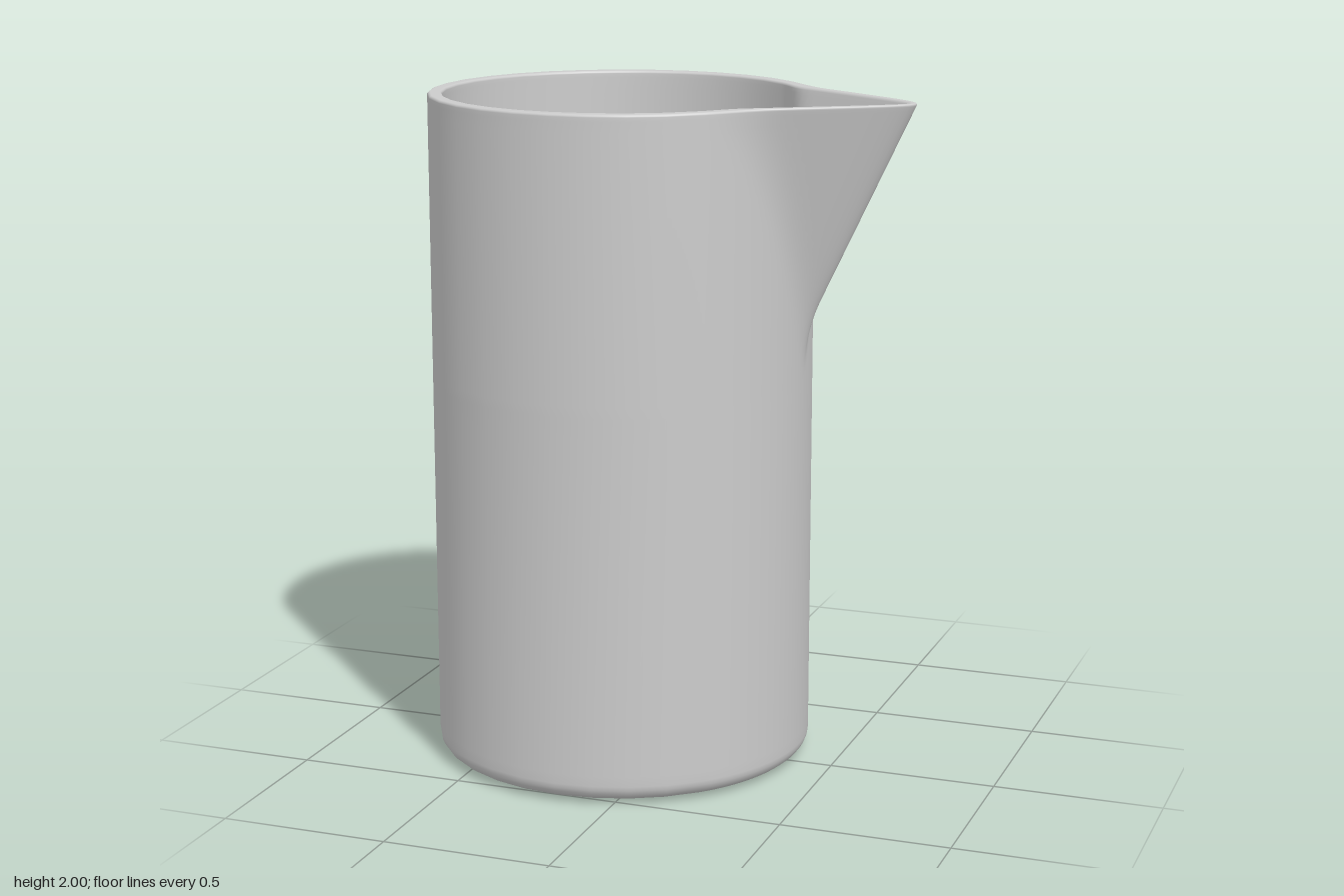
import * as THREE from 'three';

const CX = -0.165;        // axis of the round body
const R_OUT = 0.565, R_IN = 0.523;

// Column angles: coarse around the body, dense towards the spout tip
function columnAngles() {
  const angles = [], half = 24, spread = Math.PI / 4;
  for (let i = -half; i <= half; i++) {
    const u = i / half;
    angles.push(Math.sign(u) * Math.pow(Math.abs(u), 1.5) * spread);
  }
  for (let i = 5; i <= 27; i++) angles.push((i * Math.PI) / 16);
  return angles;
}

function smoothMax(a, b, k) {
  const h = Math.max(k - Math.abs(a - b), 0) / k;
  return Math.max(a, b) + (h * h * k) / 4;
}

// Radius of the wall: a circle joined with a wedge whose tip is rounded
function wallRadius(theta, y, inner) {
  const base = inner ? R_IN : R_OUT;
  if (y < 1.15 || Math.cos(theta) < 0.5) return base;
  const t = THREE.MathUtils.clamp((y - 1.25) / 0.75, 0, 1);
  const e = inner ? 0.025 + 0.01 * t : 0.035 + 0.02 * t;
  const tip = (inner ? 0.865 : 0.89) - 0.476 * (2 - y);
  const D = 0.6 * tip + e;
  const c = Math.cos(theta), s = Math.sin(theta);
  const A = s * s - 0.36 * c * c, B = 1.2 * D * c, C = D * D - e * e;
  const wedge = (2 * C) / (B + Math.sqrt(Math.max(B * B + 4 * A * C, 0)));
  return smoothMax(base, wedge, inner ? 0.02 : 0.05);
}

// Rows run from the underside, up the outside, over the rim and down inside.
function profileRows() {
  const rows = [];
  const add = (y, inset, inner = false, scale = 1) => rows.push({ y, inset, inner, scale });
  // underside and bottom fillet
  add(0, 0, false, 0);
  add(0, 0, false, 0.25);
  add(0.008, 0.075);
  for (let i = 0; i <= 6; i++) {
    const a = (i / 6) * Math.PI / 2;
    add(0.01 + 0.05 * (1 - Math.cos(a)), 0.05 * (1 - Math.sin(a)));
  }
  // outer wall
  add(0.09, 0);
  add(1.15, 0);
  for (let i = 0; i <= 24; i++) add(1.18 + (i / 24) * 0.8, 0);
  // rounded rim
  for (let i = 0; i <= 4; i++) {
    const a = (i / 4) * Math.PI / 2;
    add(1.992 + 0.008 * Math.sin(a), 0.008 * (1 - Math.cos(a)));
  }
  for (let i = 4; i >= 0; i--) {
    const a = (i / 4) * Math.PI / 2;
    add(1.992 + 0.008 * Math.sin(a), -0.008 * (1 - Math.cos(a)), true);
  }
  // inner wall and floor
  for (let i = 24; i >= 0; i--) add(1.18 + (i / 24) * 0.8, 0, true);
  add(1.15, 0, true);
  add(0.08, 0, true);
  add(0.065, 0.002, true);
  add(0.06, 0.008, true);
  add(0.06, 0.025, true);
  add(0.06, 0, true, 0);
  return rows;
}

function jugGeometry() {
  const angles = columnAngles(), rows = profileRows(), n = angles.length;
  const positions = [], index = [];
  for (const { y, inset, inner, scale } of rows) {
    for (const a of angles) {
      const r = (wallRadius(a, y, inner) - inset) * scale;
      positions.push(CX + r * Math.cos(a), y, r * Math.sin(a));
    }
  }
  for (let j = 0; j < rows.length - 1; j++) {
    for (let i = 0; i < n; i++) {
      const i2 = (i + 1) % n;
      const a = j * n + i, b = j * n + i2, c = a + n, d = b + n;
      if (rows[j].scale > 0) index.push(a, c, b);
      if (rows[j + 1].scale > 0) index.push(b, c, d);
    }
  }
  const geometry = new THREE.BufferGeometry();
  geometry.setAttribute('position', new THREE.Float32BufferAttribute(positions, 3));
  geometry.setIndex(index);
  geometry.computeVertexNormals();
  return geometry;
}

export function createModel() {
  const group = new THREE.Group();
  group.name = 'pitcher';
  const body = new THREE.Mesh(jugGeometry(), new THREE.MeshStandardMaterial({ color: 0xcccccc }));
  body.name = 'spoutedJug';
  group.add(body);
  return group;
}
